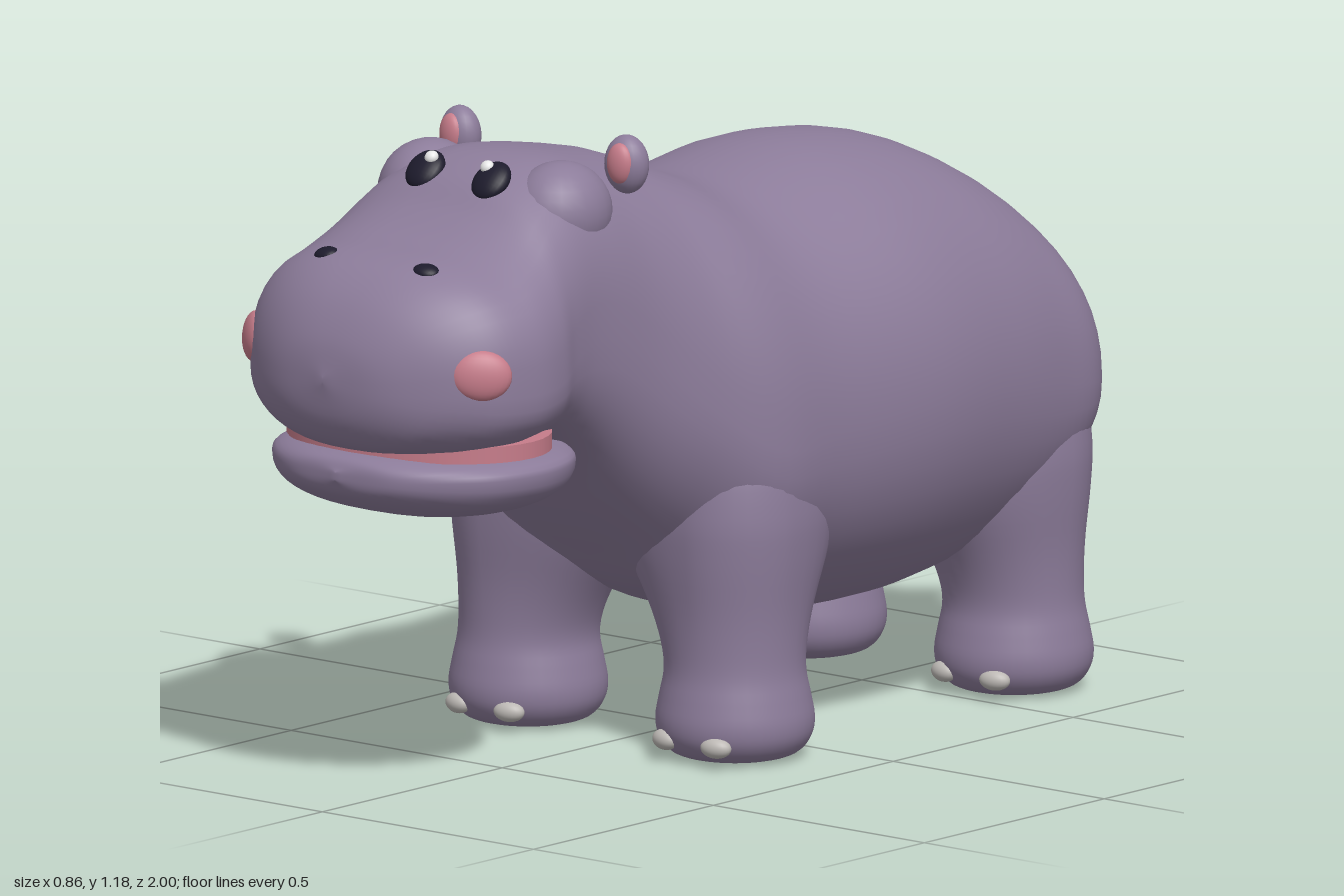
import * as THREE from 'three';
import { mergeVertices } from 'three/addons/utils/BufferGeometryUtils.js';

const paint = (name, color) => {
  const m = new THREE.MeshStandardMaterial({ color });
  m.name = name;
  return m;
};

// Smooth skin through cross-sections running front to back.
// Row: [z, top, bottom, half width, height of widest point, squareness]
function loft(rows, steps = 64, sides = 40) {
  const curveOf = (k) => new THREE.CatmullRomCurve3(
    rows.map((r) => new THREE.Vector3(r[k], r[k + 1], r[k + 2])), false, 'catmullrom', 0.5);
  const outline = curveOf(0), shape = curveOf(3);
  const pos = [], index = [];
  const bend = (v, n) => Math.sign(v) * Math.pow(Math.abs(v), 2 / n);
  for (let i = 0; i <= steps; i++) {
    const { x: z, y: top, z: bottom } = outline.getPoint(i / steps);
    const { x: w, y: mid, z: n } = shape.getPoint(i / steps);
    for (let j = 0; j < sides; j++) {
      const a = (j / sides) * Math.PI * 2;
      const s = bend(Math.sin(a), n);
      pos.push(Math.max(w, 0) * bend(Math.cos(a), n), mid + s * (s > 0 ? top - mid : mid - bottom), z);
      if (i < steps) {
        const p = i * sides + j, q = i * sides + (j + 1) % sides;
        index.push(p, p + sides, q, q, p + sides, q + sides);
      }
    }
  }
  let geo = new THREE.BufferGeometry();
  geo.setAttribute('position', new THREE.Float32BufferAttribute(pos, 3));
  geo.setIndex(index);
  geo = mergeVertices(geo, 1e-5);
  geo.computeVertexNormals();
  return geo;
}

// Leg turned from a profile, its upper part spreading towards the belly (inX, inZ are +1 or -1)
function legGeometry(inX, inZ) {
  const curve = new THREE.SplineCurve([
    [0.075, 0], [0.115, 0.011], [0.138, 0.038], [0.144, 0.072], [0.137, 0.115], [0.128, 0.16],
    [0.126, 0.21], [0.129, 0.28], [0.139, 0.38], [0.141, 0.46], [0.125, 0.56], [0.08, 0.65], [0, 0.7],
  ].map(([r, y]) => new THREE.Vector2(r, y)));
  let geo = new THREE.LatheGeometry([new THREE.Vector2(0, 0), ...curve.getPoints(48)], 36);
  geo.deleteAttribute('uv');
  geo.deleteAttribute('normal');
  geo = mergeVertices(geo, 1e-5);
  const p = geo.attributes.position;
  for (let i = 0; i < p.count; i++) {
    const x = p.getX(i), y = p.getY(i), z = p.getZ(i);
    const flare = THREE.MathUtils.smoothstep(y, 0.14, 0.42);
    p.setX(i, x + inX * flare * 0.75 * Math.max(0, x * inX));
    p.setZ(i, z + inZ * flare * 0.5 * Math.max(0, z * inZ));
  }
  geo.computeVertexNormals();
  return geo;
}

export function createModel() {
  const skin = paint('mauve skin', 0x8c7c9a);
  const pink = paint('pink', 0xc67c8a);
  const dark = paint('dark eye', 0x1d1b2c);
  const white = paint('eye highlight', 0xf0f0f0);
  const nail = paint('toenail', 0xbcb8b4);

  const model = new THREE.Group();
  model.name = 'hippo';

  const add = (name, geo, mat, x = 0, y = 0, z = 0) => {
    const mesh = new THREE.Mesh(geo, mat);
    mesh.name = name;
    mesh.position.set(x, y, z);
    model.add(mesh);
    return mesh;
  };
  const ball = new THREE.SphereGeometry(1, 24, 16);
  // Ellipsoid whose local z axis points along dir
  const blob = (name, mat, at, size, dir = [0, 0, 1]) => {
    const mesh = add(name, ball, mat, ...at);
    mesh.scale.set(...size);
    mesh.quaternion.setFromUnitVectors(new THREE.Vector3(0, 0, 1), new THREE.Vector3(...dir).normalize());
  };

  // Muzzle, head, neck and trunk as one skin
  add('body', loft([
    [1.0, 0.80, 0.79, 0, 0.795, 2.2],
    [0.985, 0.87, 0.715, 0.11, 0.785, 2.3],
    [0.95, 0.935, 0.668, 0.19, 0.78, 2.4],
    [0.90, 0.98, 0.651, 0.255, 0.78, 2.5],
    [0.84, 1.003, 0.646, 0.298, 0.775, 2.7],
    [0.76, 1.02, 0.645, 0.32, 0.775, 2.7],
    [0.69, 1.06, 0.645, 0.313, 0.785, 2.6],
    [0.63, 1.11, 0.635, 0.29, 0.81, 2.6],
    [0.56, 1.14, 0.605, 0.275, 0.83, 2.7],
    [0.48, 1.145, 0.55, 0.275, 0.82, 2.6],
    [0.38, 1.13, 0.455, 0.29, 0.75, 2.4],
    [0.28, 1.108, 0.37, 0.33, 0.66, 2.2],
    [0.16, 1.062, 0.28, 0.388, 0.58, 2.25],
    [0.0, 1.02, 0.215, 0.4, 0.595, 2.15],
    [-0.25, 1.045, 0.185, 0.43, 0.615, 2.05],
    [-0.45, 1.025, 0.195, 0.42, 0.605, 2.05],
    [-0.6, 0.962, 0.25, 0.402, 0.58, 2.2],
    [-0.71, 0.88, 0.33, 0.382, 0.57, 2.25],
    [-0.78, 0.80, 0.39, 0.32, 0.57, 2.2],
    [-0.84, 0.71, 0.465, 0.195, 0.575, 2.1],
    [-0.875, 0.64, 0.52, 0.09, 0.58, 2],
    [-0.89, 0.59, 0.57, 0, 0.58, 2],
  ], 110, 48), skin);

  // Lower jaw and mouth lining
  add('lowerJaw', loft([
    [0.965, 0.62, 0.605, 0, 0.612, 2.4],
    [0.945, 0.645, 0.573, 0.12, 0.612, 2.4],
    [0.89, 0.656, 0.542, 0.21, 0.615, 2.4],
    [0.81, 0.659, 0.523, 0.268, 0.615, 2.4],
    [0.70, 0.659, 0.517, 0.286, 0.615, 2.4],
    [0.60, 0.655, 0.528, 0.255, 0.615, 2.4],
    [0.53, 0.645, 0.555, 0.18, 0.61, 2.4],
    [0.49, 0.605, 0.595, 0, 0.6, 2.4],
  ]), skin);
  add('mouthLining', new THREE.CylinderGeometry(1, 1, 0.03, 40), pink, 0, 0.66, 0.73).scale.set(0.268, 1, 0.195);

  // Tail
  add('tail', loft([
    [-0.82, 0.72, 0.5, 0.13, 0.6, 2],
    [-0.875, 0.645, 0.527, 0.07, 0.587, 2],
    [-0.905, 0.605, 0.533, 0.036, 0.567, 2],
    [-0.93, 0.58, 0.528, 0.025, 0.553, 2],
    [-0.96, 0.555, 0.513, 0.02, 0.534, 2],
    [-0.99, 0.525, 0.497, 0.013, 0.511, 2],
    [-1.0, 0.508, 0.504, 0, 0.506, 2],
  ], 30, 16), skin);

  for (const s of [1, -1]) {
    const side = s > 0 ? 'left' : 'right';

    // Legs with two toenails each
    for (const [end, z, inZ] of [['Front', 0.14, -1], ['Hind', -0.635, 1]]) {
      add(side + end + 'Leg', legGeometry(-s, inZ), skin, s * 0.245, 0, z);
      for (const dx of [-0.06, 0.06])
        blob(side + end + 'Toenail', nail, [s * 0.245 + dx, 0.04, z + 0.124], [0.03, 0.019, 0.019], [dx * 4, 0, 1]);
    }

    // Brow bulges and ears
    blob(side + 'Brow', skin, [s * 0.155, 1.05, 0.52], [0.09, 0.093, 0.1]);
    blob(side + 'Ear', skin, [s * 0.197, 1.122, 0.385], [0.043, 0.054, 0.034], [s * 0.15, 0, 1]);
    blob(side + 'InnerEar', pink, [s * 0.2, 1.126, 0.406], [0.027, 0.038, 0.018], [s * 0.15, 0, 1]);

    // Face details
    blob(side + 'Eye', dark, [s * 0.078, 1.112, 0.622], [0.038, 0.042, 0.02], [0, 0.72, 0.68]);
    blob(side + 'EyeHighlight', white, [s * 0.066, 1.136, 0.619], [0.013, 0.013, 0.011], [0, 0.72, 0.68]);
    blob(side + 'Nostril', dark, [s * 0.118, 0.988, 0.85], [0.026, 0.02, 0.012], [s * 0.15, 1, 0.3]);
    blob(side + 'Cheek', pink, [s * 0.268, 0.82, 0.873], [0.056, 0.046, 0.022], [s * 0.66, 0.1, 0.74]);
  }
  return model;
}
